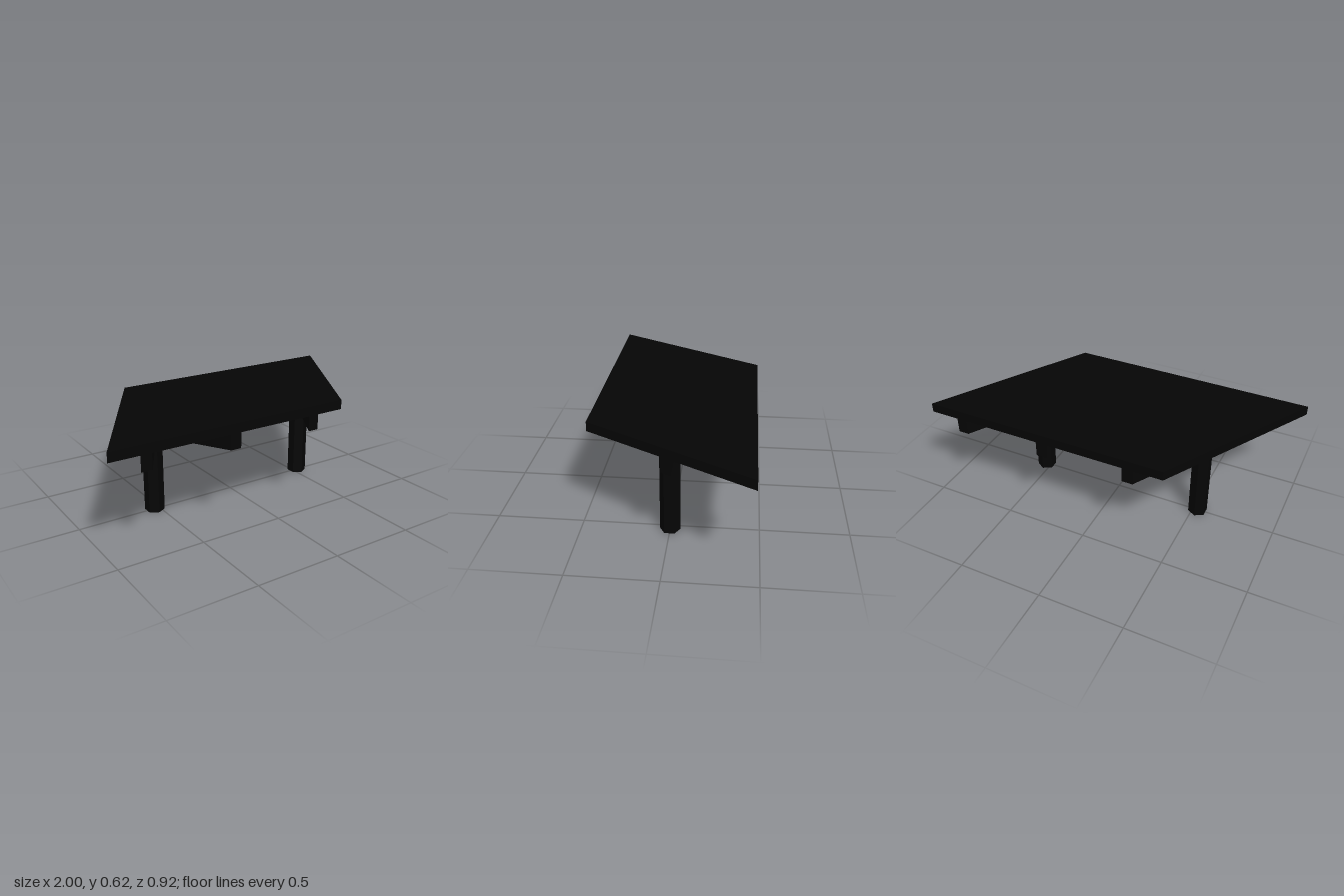
import * as THREE from 'three';

const material = new THREE.MeshStandardMaterial({ color: 0x050505 });
const HALF_Z = 0.46, SKEW = 0.265;      // half depth; x shift of a 60 degree line over that depth
const SLAB_BOTTOM = 0.56, SLAB_TOP = 0.615, BEAM_BOTTOM = 0.47;
const COLUMN_X = 0.53, BEAM_HALF = 0.0275;

// Upright prism over an outline of [x, z] points
function prism(name, outline, y0, y1) {
  const shape = new THREE.Shape(outline.map(([x, z]) => new THREE.Vector2(x, -z)));
  const geometry = new THREE.ExtrudeGeometry(shape, { depth: y1 - y0, bevelEnabled: false });
  geometry.rotateX(-Math.PI / 2);
  geometry.translate(0, y0, 0);
  const mesh = new THREE.Mesh(geometry, material);
  mesh.name = name;
  return mesh;
}

export function createModel() {
  const group = new THREE.Group();
  group.name = 'slabOnColumns';

  // Parallelogram roof slab
  group.add(prism('slab', [
    [-1, HALF_Z], [0.47, HALF_Z], [1, -HALF_Z], [-0.47, -HALF_Z],
  ], SLAB_BOTTOM, SLAB_TOP));

  // Diagonal beams, cut flush with the front and back of the slab
  const w = BEAM_HALF / Math.sin(Math.PI / 3);
  const diagonal = (x0, z0, x1, z1) => group.add(prism('diagonalBeam', [
    [x0 - w, z0], [x0 + w, z0], [x1 + w, z1], [x1 - w, z1],
  ], BEAM_BOTTOM, SLAB_BOTTOM));

  for (const side of [-1, 1]) {
    const x = side * COLUMN_X;

    // Hexagonal column with corners to the front and back
    const column = new THREE.Mesh(
      new THREE.CylinderGeometry(0.0575, 0.0575, SLAB_BOTTOM, 6).toNonIndexed(), material);
    column.geometry.computeVertexNormals();
    column.position.set(x, SLAB_BOTTOM / 2, 0);
    column.name = 'column';
    group.add(column);

    // One beam right through the column head, one short arm towards the middle
    diagonal(x - SKEW, HALF_Z, x + SKEW, -HALF_Z);
    diagonal(x, 0, x - side * SKEW, -side * HALF_Z);
  }

  // Main beam joining the columns, cut along the slanted left edge of the slab
  group.add(prism('mainBeam', [
    [-COLUMN_X, BEAM_HALF], [0.719, BEAM_HALF], [0.751, -BEAM_HALF], [-COLUMN_X, -BEAM_HALF],
  ], BEAM_BOTTOM, SLAB_BOTTOM));

  return group;
}
